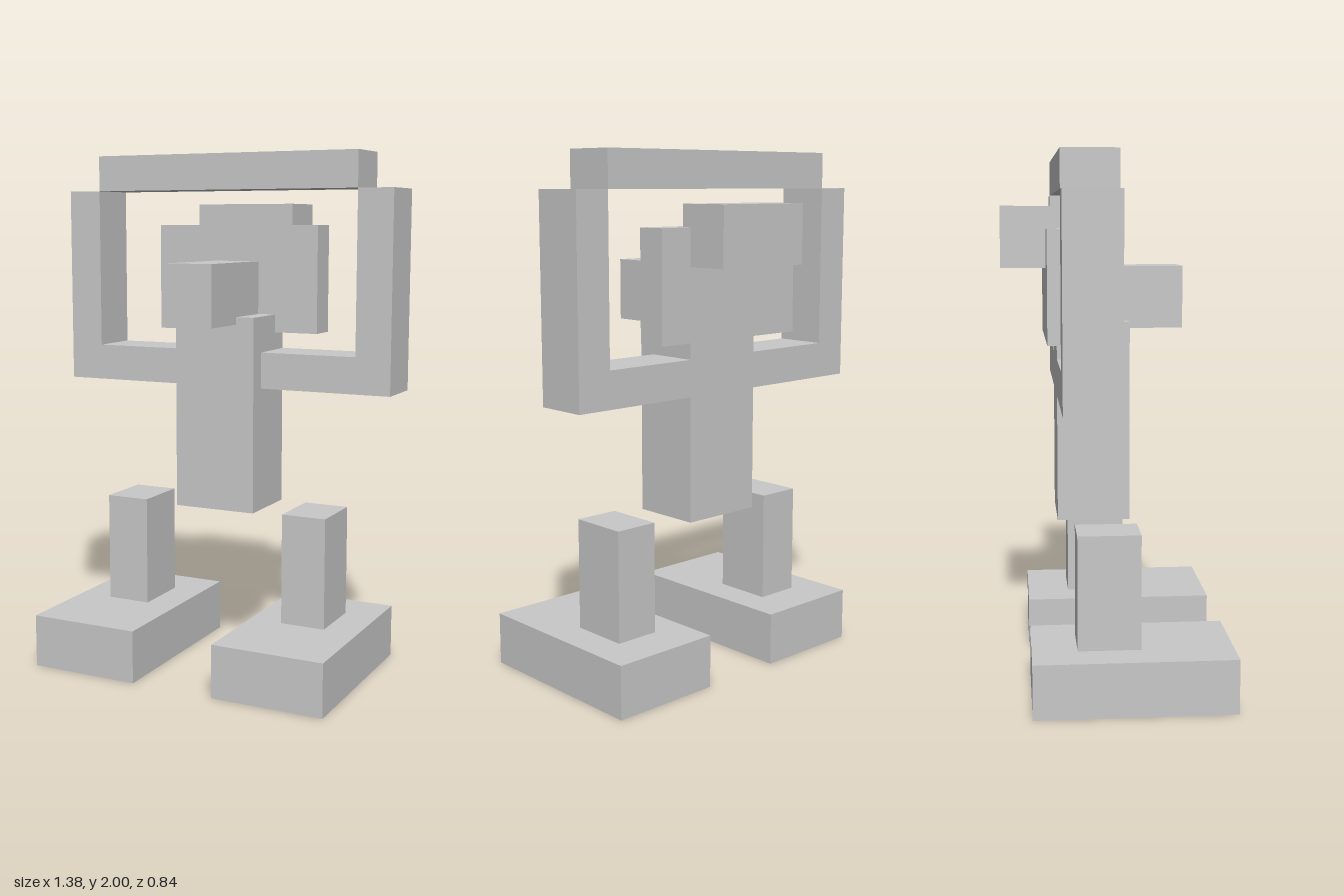
import * as THREE from 'three';

export function createModel() {
  const model = new THREE.Group();
  model.name = 'blockRobot';
  const grey = new THREE.MeshStandardMaterial({ color: 0xc8c8c8 });
  grey.name = 'lightGrey';

  // Box given by its [min, max] range on each axis
  const block = (name, [x0, x1], [y0, y1], [z0, z1]) => {
    const mesh = new THREE.Mesh(new THREE.BoxGeometry(x1 - x0, y1 - y0, z1 - z0), grey);
    mesh.position.set((x0 + x1) / 2, (y0 + y1) / 2, (z0 + z1) / 2);
    mesh.name = name;
    model.add(mesh);
  };

  // Legs and feet, mirrored
  for (const [side, s] of [['left', 1], ['right', -1]]) {
    const span = (a, b) => (s > 0 ? [a, b] : [-b, -a]);
    block(side + 'Foot', span(0.167, 0.608), [0, 0.205], [-0.323, 0.421]);
    block(side + 'Leg', span(0.297, 0.474), [0.205, 0.635], [-0.155, 0.078]);
  }

  // Torso
  block('torso', [-0.167, 0.167], [0.622, 1.38], [-0.213, 0.062]);

  // U-shaped arms: crossbar with two raised forearms
  const outline = [
    [-0.69, 1.102], [0.69, 1.102], [0.69, 1.862], [0.552, 1.862],
    [0.552, 1.242], [-0.552, 1.242], [-0.552, 1.862], [-0.69, 1.862],
  ].map(([x, y]) => new THREE.Vector2(x, y));
  const arms = new THREE.Mesh(
    new THREE.ExtrudeGeometry(new THREE.Shape(outline), { depth: 0.206, bevelEnabled: false }),
    grey
  );
  arms.position.z = -0.213;
  arms.name = 'arms';
  model.add(arms);

  // Bar held overhead
  block('overheadBar', [-0.552, 0.552], [1.862, 2], [-0.213, -0.007]);

  // Head with snout and rear block
  block('head', [-0.344, 0.344], [1.31, 1.727], [-0.253, -0.138]);
  block('snout', [-0.094, 0.094], [1.352, 1.587], [-0.145, 0.27]);
  block('headBack', [-0.205, 0.205], [1.585, 1.81], [-0.42, -0.213]);

  return model;
}
